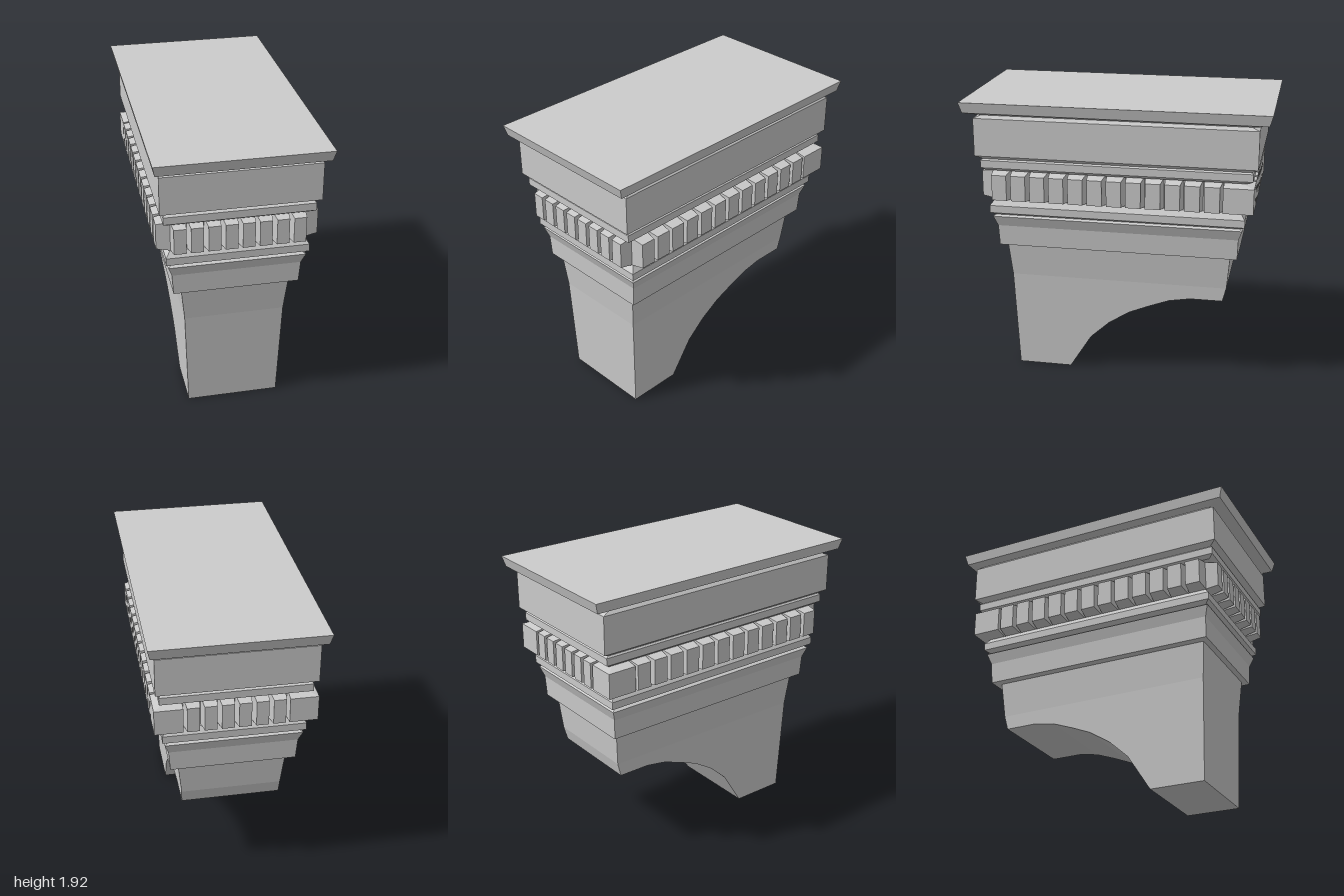
import * as THREE from 'three';

const material = new THREE.MeshStandardMaterial({ color: 0xcccccc, flatShading: true });

// Skin closed rings (counter-clockwise seen from the end) and cap both ends.
function loft(rings) {
  const n = rings[0].length, last = (rings.length - 1) * n, index = [];
  for (let r = 0; r < last; r += n) {
    for (let k = 0; k < n; k++) {
      const a = r + k, b = r + (k + 1) % n;
      index.push(a, b, b + n, a, b + n, a + n);
    }
  }
  for (let k = 1; k < n - 1; k++) {
    index.push(0, k + 1, k, last, last + k, last + k + 1);
  }
  const g = new THREE.BufferGeometry();
  g.setAttribute('position', new THREE.Float32BufferAttribute(rings.flat(2), 3));
  g.setIndex(index);
  const flat = g.toNonIndexed();
  flat.computeVertexNormals();
  return flat;
}

// Horizontal rectangle at height y
const level = (y, x0, x1, z0, z1) => [[x1, y, z1], [x1, y, z0], [x0, y, z0], [x0, y, z1]];
// Upright rectangle at depth z
const upright = (w, h, z) => [[-w, -h, z], [w, -h, z], [w, h, z], [-w, h, z]];

function add(parent, name, geometry) {
  const mesh = new THREE.Mesh(geometry, material);
  mesh.name = name;
  parent.add(mesh);
  return mesh;
}

export function createModel() {
  const model = new THREE.Group();
  model.name = 'corbel';

  // Stacked mouldings: [height, half width, half depth]
  const mouldings = {
    neck: [[0.92, 0.405, 0.8], [1.06, 0.415, 0.805], [1.13, 0.44, 0.83], [1.14, 0.42, 0.81]],
    lowerBand: [[1.14, 0.42, 0.81], [1.16, 0.455, 0.845], [1.21, 0.455, 0.845], [1.25, 0.425, 0.815]],
    dentilCore: [[1.25, 0.41, 0.8], [1.455, 0.41, 0.8]],
    upperBand: [[1.455, 0.45, 0.86], [1.475, 0.475, 0.89], [1.525, 0.475, 0.89], [1.535, 0.465, 0.875]],
    frieze: [[1.535, 0.465, 0.875], [1.56, 0.5, 0.92], [1.81, 0.5, 0.92], [1.83, 0.48, 0.87]],
    topSlab: [[1.83, 0.48, 0.87], [1.85, 0.53, 0.98], [1.92, 0.545, 1]],
  };
  for (const [name, profile] of Object.entries(mouldings)) {
    add(model, name, loft(profile.map(([y, x, z]) => level(y, -x, x, -z, z))));
  }

  // Tapered dentils on all four sides
  const dentils = new THREE.Group();
  dentils.name = 'dentils';
  model.add(dentils);
  const tooth = (half) => loft([upright(half, 0.102, 0), upright(half - 0.011, 0.085, 0.1)]);
  const narrow = tooth(0.05), wide = tooth(0.06);
  const y = 1.3525;
  for (let i = 0; i < 8; i++) {
    const x = (i - 3.5) * 0.107;
    add(dentils, 'frontDentil', narrow).position.set(x, y, 0.8);
    if (i > 0 && i < 7) {
      const back = add(dentils, 'backDentil', narrow);
      back.position.set(x, y, -0.8);
      back.rotation.y = Math.PI;
    }
  }
  for (const side of [-1, 1]) {
    for (let i = 0; i < 12; i++) {
      const d = add(dentils, 'sideDentil', wide);
      d.position.set(side * 0.41, y, 0.76 - i * 0.127);
      d.rotation.y = side * Math.PI / 2;
    }
    // Solid block wrapping each back corner
    const corner = [[1.25, 0.41, 0.8], [1.268, 0.51, 0.9], [1.437, 0.51, 0.9], [1.455, 0.41, 0.8]];
    add(dentils, 'cornerBlock', loft(corner.map(([h, x, z]) =>
      level(h, Math.min(side * 0.33, side * x), Math.max(side * 0.33, side * x), -z, -0.705))));
  }

  // Bracket with arched underside: [z, underside height], back to front
  const underside = [[-0.705, 0.585], [-0.49, 0.585], [-0.345, 0.56], [-0.2, 0.505],
    [-0.07, 0.45], [0.07, 0.36], [0.2, 0.24], [0.35, 0], [0.715, 0]];
  add(model, 'bracket', loft(underside.map(([z, h], i) => {
    const flare = i === 0 ? -1 : i === underside.length - 1 ? 1 : 0;
    const w = 0.303 + 0.024 * h / 0.68;
    const zm = z + flare * 0.025, zt = z + flare * 0.047;
    return [[-0.327, 0.68, zm], [-w, h, z], [w, h, z], [0.327, 0.68, zm], [0.352, 0.925, zt], [-0.352, 0.925, zt]];
  })));

  return model;
}
